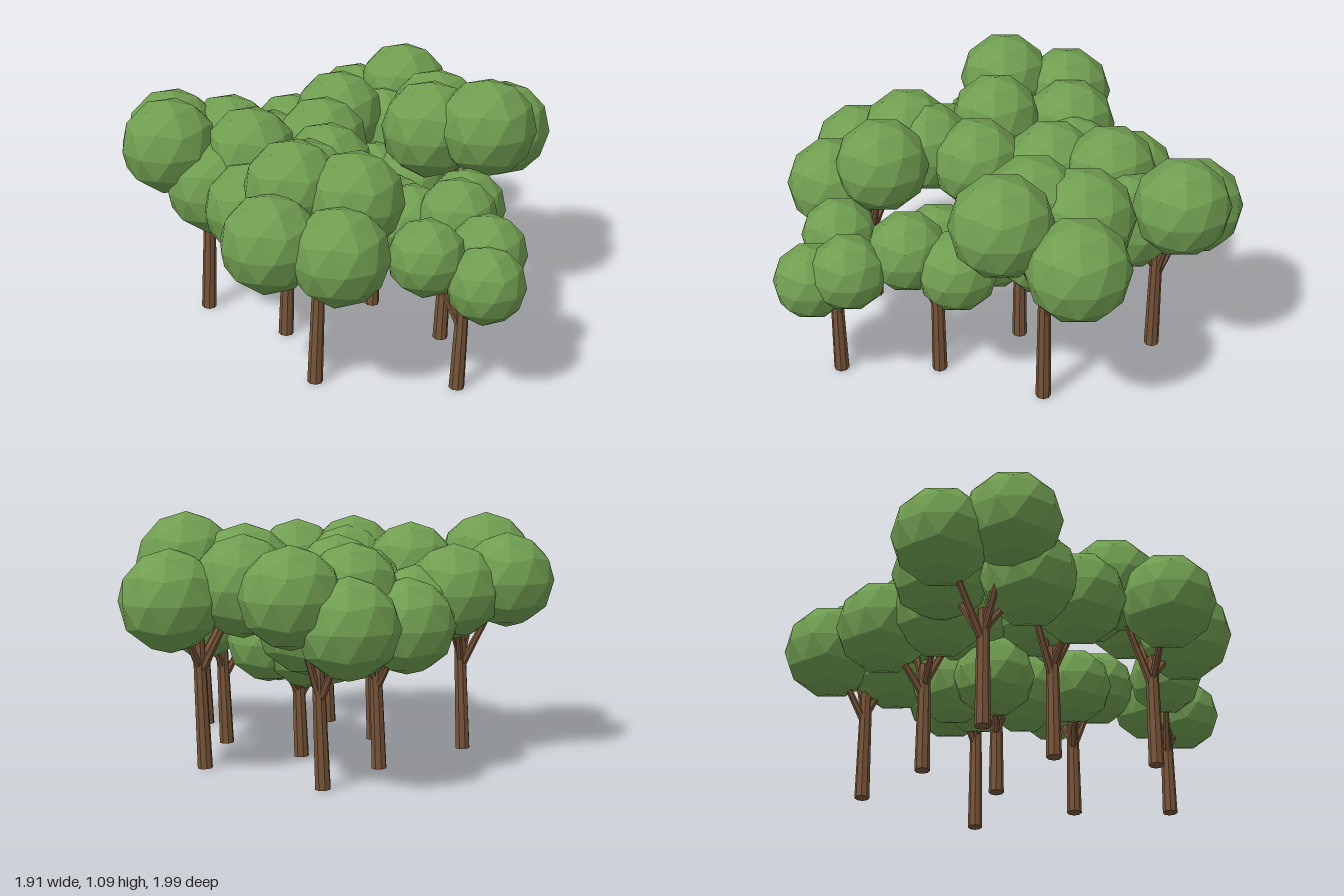
import * as THREE from 'three';

const UP = new THREE.Vector3(0, 1, 0);

// Each tree: trunk foot [x, z], leaf clump radius and clump centres
const TREES = [
  { foot: [0.39, 0.74], size: 0.163, clumps: [[0.255, 0.6, 0.73], [0.515, 0.58, 0.67], [0.48, 0.515, 0.83]] },
  { foot: [0.39, 0.31], size: 0.172, clumps: [[0.25, 0.56, 0.31], [0.43, 0.63, 0.43], [0.505, 0.58, 0.22]] },
  { foot: [0.13, -0.04], size: 0.18, clumps: [[0, 0.495, -0.05], [0.3, 0.54, -0.13], [0.16, 0.525, -0.24], [0.2, 0.5, 0.08]] },
  { foot: [-0.19, 0.63], size: 0.206, clumps: [[-0.26, 0.81, 0.46], [-0.015, 0.79, 0.56], [-0.37, 0.675, 0.69], [-0.1, 0.65, 0.785]] },
  { foot: [-0.28, 0.2], size: 0.2, clumps: [[-0.41, 0.815, 0.07], [-0.09, 0.76, 0.15], [-0.2, 0.78, 0.37], [-0.425, 0.66, 0.31]] },
  { foot: [0.2, -0.63], size: 0.21, clumps: [[0.14, 0.68, -0.79], [0.355, 0.8, -0.71], [0.23, 0.66, -0.5]] },
  { foot: [-0.13, -0.35], size: 0.204, clumps: [[-0.19, 0.64, -0.53], [0.02, 0.78, -0.43], [-0.31, 0.66, -0.28], [-0.08, 0.75, -0.18]] },
  { foot: [0.585, -0.14], size: 0.218, clumps: [[0.45, 0.8, -0.3], [0.75, 0.745, -0.27], [0.39, 0.825, -0.09], [0.62, 0.87, 0.035]] },
  { foot: [-0.61, -0.09], size: 0.208, clumps: [[-0.74, 0.78, -0.26], [-0.49, 0.74, -0.27], [-0.755, 0.845, 0.03], [-0.57, 0.68, 0.1]] },
];

export function createModel() {
  const leaf = new THREE.MeshStandardMaterial({ color: 0x709e50, flatShading: true });
  leaf.name = 'leafGreen';
  const bark = new THREE.MeshStandardMaterial({ color: 0x785539, flatShading: true });
  bark.name = 'barkBrown';

  // Faceted ball turned so that one corner points straight up
  const ball = new THREE.IcosahedronGeometry(1, 1);
  ball.rotateZ(-Math.atan(2 / (1 + Math.sqrt(5))));

  // Tapered limb between two points
  function limb(name, from, to, r0, r1, sides) {
    const dir = to.clone().sub(from);
    const mesh = new THREE.Mesh(new THREE.CylinderGeometry(r1, r0, dir.length(), sides), bark);
    mesh.name = name;
    mesh.position.copy(from).add(to).multiplyScalar(0.5);
    mesh.quaternion.setFromUnitVectors(UP, dir.normalize());
    return mesh;
  }

  const grove = new THREE.Group();
  grove.name = 'grove';

  TREES.forEach(({ foot: [x, z], size, clumps }, t) => {
    const tree = new THREE.Group();
    tree.name = `tree${t + 1}`;

    // Trunk leaning slightly to +x, forking well below its lowest clump
    const fork = 0.59 * Math.min(...clumps.map((c) => c[1]));
    const along = (y) => new THREE.Vector3(x + 0.04 * y, y, z);
    tree.add(limb('trunk', along(0), along(fork + 0.12), 0.033, 0.026, 8));

    clumps.forEach((c, i) => {
      // Branch reaching into its clump
      const centre = new THREE.Vector3(...c);
      tree.add(limb('branch', along(fork - 0.03 + 0.02 * i), centre, 0.018, 0.01, 6));

      // Faceted leaf clump
      const clump = new THREE.Mesh(ball, leaf);
      clump.name = 'leafClump';
      clump.position.copy(centre);
      clump.scale.setScalar(size);
      tree.add(clump);
    });
    grove.add(tree);
  });
  return grove;
}
